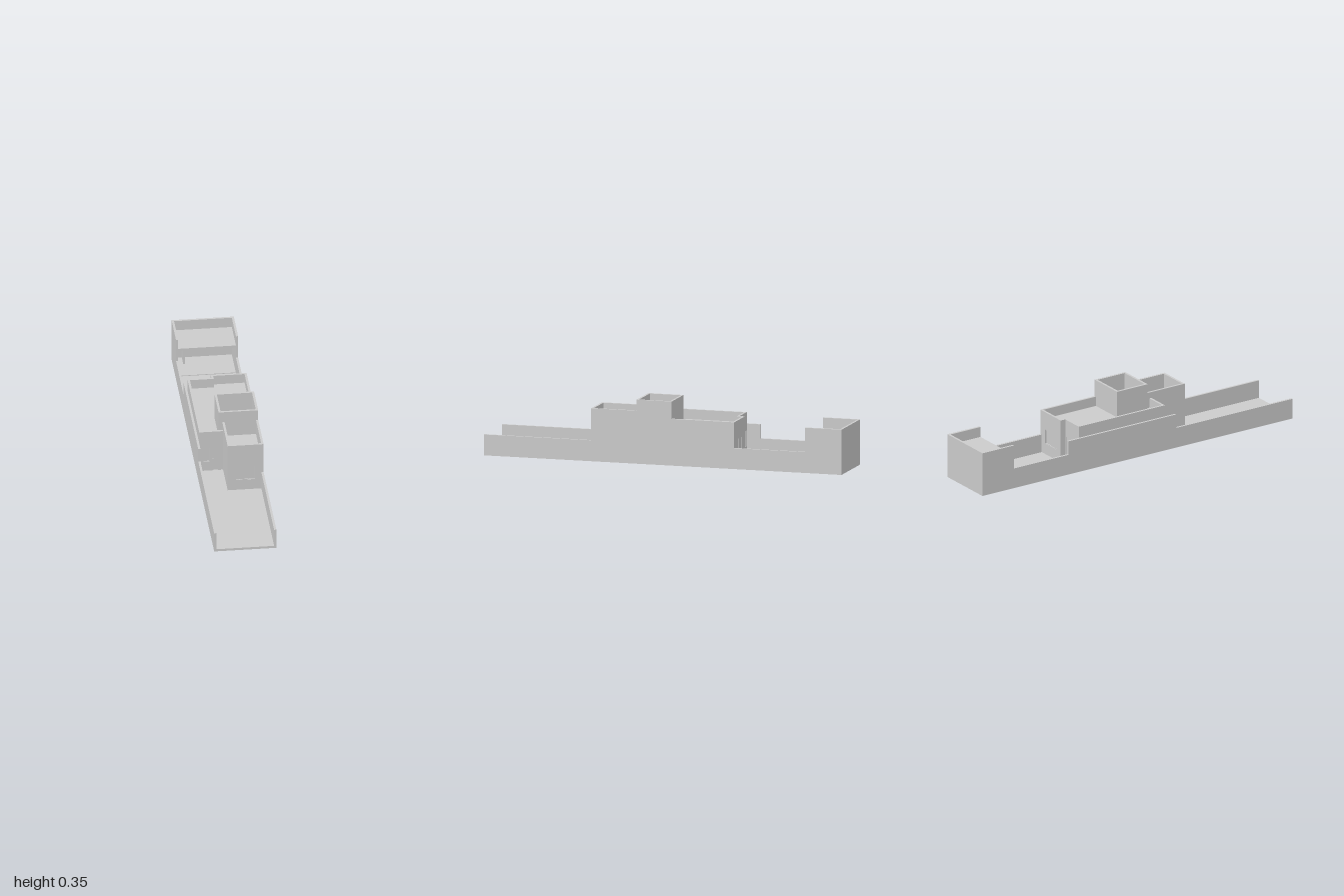
import * as THREE from 'three';

const T = 0.012; // wall thickness
const XL = -0.168, XR = 0.166, FLOOR = 0.013, ROOF = 0.2;

export function createModel() {
  const house = new THREE.Group();
  house.name = 'longHouse';
  const mat = new THREE.MeshStandardMaterial({ color: 0xcccccc });

  function add(name, geometry) {
    const mesh = new THREE.Mesh(geometry, mat);
    mesh.name = name;
    house.add(mesh);
    return mesh;
  }

  function box(name, x0, x1, y0, y1, z0, z1) {
    const g = new THREE.BoxGeometry(x1 - x0, y1 - y0, z1 - z0);
    g.translate((x0 + x1) / 2, (y0 + y1) / 2, (z0 + z1) / 2);
    return add(name, g);
  }

  // Flat slab from an outline, with rectangular openings [u0, u1, v0, v1]
  function slab(points, openings, depth) {
    const shape = new THREE.Shape(points.map(([u, v]) => new THREE.Vector2(u, v)));
    for (const [u0, u1, v0, v1] of openings) {
      shape.holes.push(new THREE.Path([
        new THREE.Vector2(u0, v0), new THREE.Vector2(u0, v1),
        new THREE.Vector2(u1, v1), new THREE.Vector2(u1, v0)]));
    }
    return new THREE.ExtrudeGeometry(shape, { depth, bevelEnabled: false });
  }

  // Wall across the plot, spanning x, from z to z + T
  function crossWall(name, x0, x1, y0, y1, z, openings = []) {
    const g = slab([[x0, y0], [x1, y0], [x1, y1], [x0, y1]], openings, T);
    g.translate(0, 0, z);
    return add(name, g);
  }

  // Wall along the plot from a [z, y] outline, from x to x + T
  function longWall(name, x, outline, openings = []) {
    const g = slab(outline.map(([z, y]) => [-z, y]),
      openings.map(([z0, z1, y0, y1]) => [-z1, -z0, y0, y1]), T);
    g.rotateY(Math.PI / 2);
    g.translate(x, 0, 0);
    return add(name, g);
  }

  // Frame and two sliding panes; dir is the outward z direction of the wall
  function slidingWindow([x0, x1, y0, y1], z, dir) {
    const f = 0.003, mid = (x0 + x1) / 2;
    const frame = slab([[x0, y0], [x1, y0], [x1, y1], [x0, y1]],
      [[x0 + f, x1 - f, y0 + f, y1 - f]], 0.008);
    frame.translate(0, 0, z - 0.004);
    add('windowFrame', frame);
    const a = z + dir * 0.001, b = z - dir * 0.002;
    box('windowPane', x0 + f, mid + f / 2, y0 + f, y1 - f, a - 0.001, a + 0.001);
    box('windowPane', mid - f / 2, x1 - f, y0 + f, y1 - f, b - 0.001, b + 0.001);
  }

  function door([x0, x1, y0, y1], z, dir) {
    box('door', x0, x1, y0, y1, z - 0.003, z + 0.003);
    const h = z + dir * 0.005;
    box('doorHandle', x0 + 0.003, x0 + 0.01, 0.086, 0.088, h - 0.002, h + 0.002);
  }

  // Ground slab and raised floor of the rear annex
  box('groundSlab', XL, XR, 0, FLOOR, -1, 1);
  box('annexFloor', XL + T, XR - T, FLOOR, FLOOR + 0.004, -1 + T, -0.8);

  // Boundary wall on the house side, stepped with the roofs
  longWall('rightBoundaryWall', XR - T, [
    [1, FLOOR], [1, 0.113], [0.4, 0.113], [0.4, 0.287], [0.147, 0.287], [0.147, 0.347],
    [-0.05, 0.347], [-0.05, 0.253], [-0.4, 0.253], [-0.4, 0.113], [-0.795, 0.113],
    [-0.795, 0.245], [-1, 0.245], [-1, FLOOR]], [[-0.17, -0.04, 0.14, 0.193]]);

  // Opposite boundary wall, raised beside the house
  longWall('leftBoundaryWall', XL, [
    [1, FLOOR], [1, 0.113], [0.25, 0.113], [0.25, 0.19], [-0.445, 0.19], [-0.445, 0.113],
    [-0.795, 0.113], [-0.795, 0.245], [-1, 0.245], [-1, FLOOR]]);

  // Rear annex: back wall, roof and partition
  crossWall('annexBackWall', XL + T, XR - T, FLOOR, 0.245, -1);
  box('annexRoof', XL + T, XR - T, 0.175, 0.188, -1 + T, -0.795);
  box('annexPartition', -0.115, -0.105, FLOOR, 0.175, -1 + T, -0.92);

  // House walls, each rising past the roof as a parapet
  const bigWindow = [0.015, 0.122, 0.073, 0.154];
  const smallWindow = [-0.148, -0.098, 0.067, 0.154];
  const doorway = [-0.087, -0.033, FLOOR + 0.001, 0.154];
  const sideX = -0.155, stepX = -0.027;
  const rect = (z0, z1, y0, y1) => [[z1, y0], [z1, y1], [z0, y1], [z0, y0]];

  crossWall('frontRoomWall', stepX, XR - T, FLOOR, 0.287, 0.4 - T, [bigWindow]);
  crossWall('backRoomWall', stepX, XR - T, FLOOR, 0.253, -0.4, [bigWindow]);
  crossWall('entranceWall', sideX, stepX, FLOOR, 0.253, 0.185 - T, [smallWindow, doorway]);
  crossWall('rearEntranceWall', sideX, stepX, FLOOR, 0.253, -0.37, [smallWindow, doorway]);
  longWall('frontRoomSideWall', stepX, rect(0.147, 0.4 - T, FLOOR, 0.287));
  longWall('backRoomSideWall', stepX, rect(-0.4 + T, -0.358, FLOOR, 0.253));
  longWall('houseSideWall', sideX, rect(-0.358, 0.185 - T, FLOOR, 0.253));

  // Windows and doors, front and back
  for (const [zRoom, zEntry, dir] of [[0.394, 0.179, 1], [-0.394, -0.364, -1]]) {
    slidingWindow(bigWindow, zRoom, dir);
    slidingWindow(smallWindow, zEntry, dir);
    door(doorway, zEntry, dir);
  }

  // Roofs inside the parapets
  box('mainRoof', stepX + T, XR - T, ROOF - T, ROOF, -0.4 + T, 0.4 - T);
  box('sideRoof', sideX + T, stepX + T, ROOF - T, ROOF, -0.358, 0.185 - T);

  // Open roof tower
  const towerX = -0.047;
  crossWall('towerFrontWall', towerX, XR - T, ROOF, 0.347, 0.147 - T);
  crossWall('towerBackWall', towerX, XR - T, ROOF, 0.347, -0.05);
  longWall('towerSideWall', towerX, rect(-0.05 + T, 0.147 - T, ROOF, 0.347));

  return house;
}
